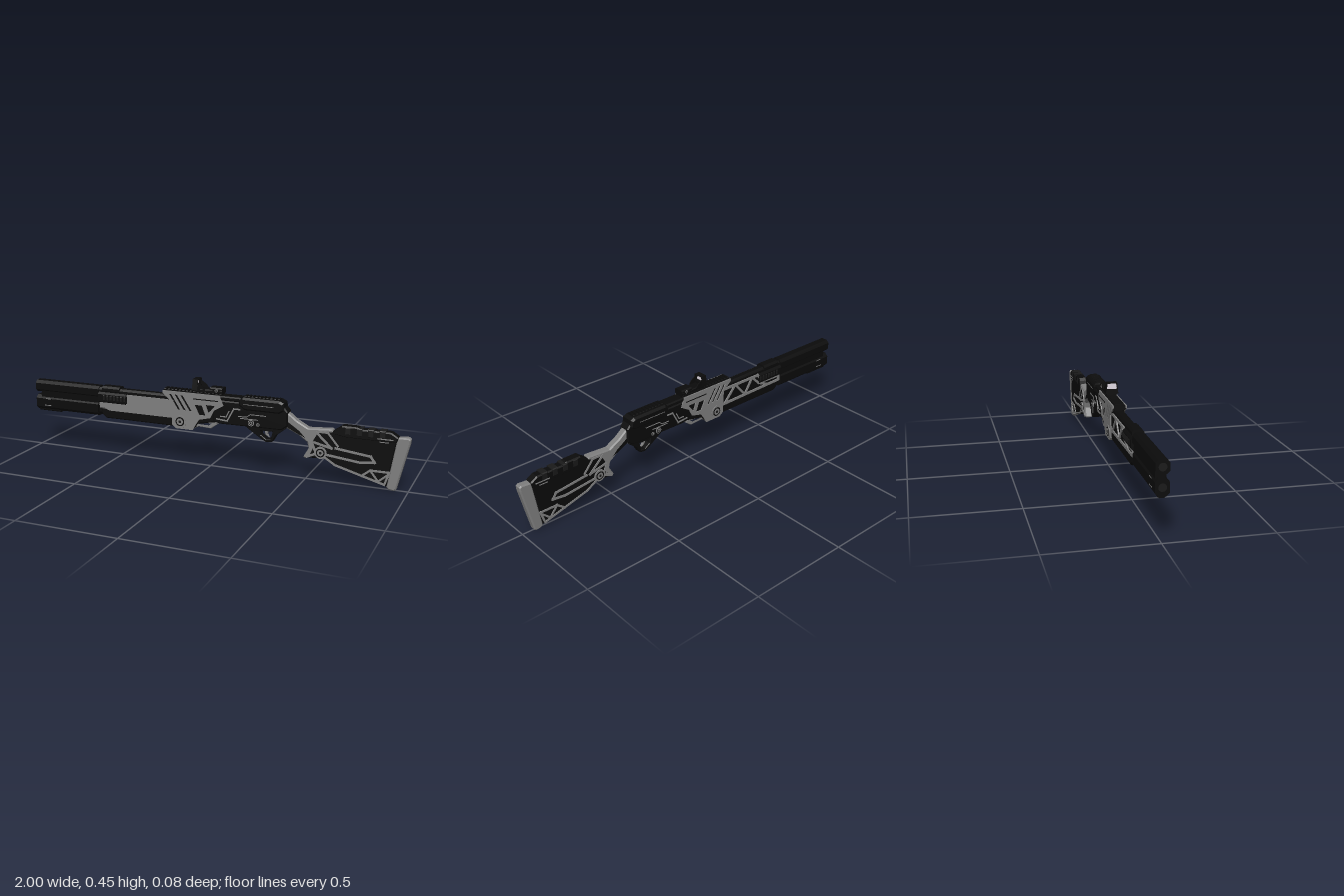
import * as THREE from 'three';

const mat = (name, color, extra = {}) => {
  const m = new THREE.MeshStandardMaterial({ color, ...extra });
  m.name = name;
  return m;
};

export function createModel() {
  const black = mat('black', 0x0b0b0b);
  const dark = mat('charcoal', 0x1a1a1a);
  const grey = mat('grey', 0x808080);
  const lens = mat('pale lens', 0xe4dde6, { side: THREE.DoubleSide });
  const root = new THREE.Group();

  const add = (name, geo, m) => {
    const mesh = new THREE.Mesh(geo, m);
    mesh.name = name;
    root.add(mesh);
    return mesh;
  };
  const outline = (pts, holes = []) => {
    const s = new THREE.Shape(pts.map(p => new THREE.Vector2(...p)));
    for (const h of holes) s.holes.push(new THREE.Path(h.map(p => new THREE.Vector2(...p))));
    return s;
  };
  // Side silhouette, extruded evenly about z = 0, with chamfered edges
  const body = (name, pts, hz, m, b = 0.006, holes = []) => {
    const g = new THREE.ExtrudeGeometry(outline(pts, holes), {
      depth: 2 * (hz - b), bevelThickness: b, bevelSize: b, bevelOffset: -b, bevelSegments: 1,
    });
    return add(name, g.translate(0, 0, -(hz - b)), m);
  };
  // Plate from z to z + t on the chosen sides
  const plate = (name, pts, z, t, m, holes = [], sides = [1, -1]) => {
    for (const s of sides) {
      const g = new THREE.ExtrudeGeometry(outline(pts, holes), { depth: t, bevelEnabled: false });
      add(name, g.translate(0, 0, s > 0 ? z : -z - t), m);
    }
  };
  // Flat strips along a polyline
  const strips = (name, pts, w, z, t, m, sides = [1, -1]) => {
    for (let i = 0; i + 1 < pts.length; i++) {
      const [a, b] = [pts[i], pts[i + 1]];
      const l = Math.hypot(b[0] - a[0], b[1] - a[1]);
      const ux = (b[0] - a[0]) / l * w / 2, uy = (b[1] - a[1]) / l * w / 2;
      plate(name, [[a[0] - ux - uy, a[1] - uy + ux], [a[0] - ux + uy, a[1] - uy - ux],
        [b[0] + ux + uy, b[1] + uy - ux], [b[0] + ux - uy, b[1] + uy + ux]], z, t, m, [], sides);
    }
  };
  const rect = (x0, x1, y0, y1) => [[x0, y0], [x1, y0], [x1, y1], [x0, y1]];
  // Bar along x with an eight-sided section
  const bar = (name, x0, x1, y0, y1, hz, c, m) => {
    const s = outline([[-hz, y0 + c], [-hz + c, y0], [hz - c, y0], [hz, y0 + c],
      [hz, y1 - c], [hz - c, y1], [-hz + c, y1], [-hz, y1 - c]]);
    const g = new THREE.ExtrudeGeometry(s, { depth: x1 - x0, bevelEnabled: false });
    return add(name, g.rotateY(Math.PI / 2).translate(x0, 0, 0), m);
  };
  // Round boss with a ring and cap on both sides
  const boss = (name, x, y, r, z) => {
    const disc = (n, rad, h, m) => add(n, new THREE.CylinderGeometry(rad, rad, 2 * h, 24)
      .rotateX(Math.PI / 2).translate(x, y, 0), m);
    disc(name, r, z, grey);
    disc(name + 'Groove', r * 0.72, z + 0.001, black);
    disc(name + 'Cap', r * 0.52, z + 0.002, grey);
    disc(name + 'Hole', r * 0.22, z + 0.003, dark);
  };

  // Barrels and muzzle sleeves
  bar('upperMuzzleSleeve', -1, -0.62, 0.298, 0.36, 0.031, 0.014, black);
  bar('lowerMuzzleSleeve', -1, -0.625, 0.203, 0.28, 0.031, 0.016, black);
  bar('muzzleFoot', -0.99, -0.86, 0.194, 0.22, 0.018, 0.006, black);
  bar('sleeveWeb', -0.97, -0.62, 0.27, 0.31, 0.024, 0.002, black);
  bar('barrel', -0.64, 0.1, 0.305, 0.355, 0.023, 0.01, black);
  bar('magazineTube', -0.64, -0.2, 0.215, 0.27, 0.018, 0.008, black);
  for (const y of [0.329, 0.242]) {
    add('bore', new THREE.CylinderGeometry(0.018, 0.018, 0.004, 20)
      .rotateZ(Math.PI / 2).translate(-0.999, y, 0), dark);
  }
  plate('sleeveMark', rect(-0.94, -0.91, 0.262, 0.266), 0.031, 0.001, grey);
  plate('sleeveMark', rect(-0.95, -0.91, 0.226, 0.23), 0.031, 0.001, grey);

  // Collar with top ribs
  bar('collar', -0.62, -0.46, 0.275, 0.333, 0.036, 0.01, black);
  bar('collarTop', -0.6, -0.5, 0.33, 0.364, 0.028, 0.01, black);
  for (let i = 0; i < 7; i++) bar('collarRib', -0.59 + i * 0.02, -0.58 + i * 0.02, 0.285, 0.326, 0.039, 0.01, dark);

  // Fore-end: solid panel on one side, open truss on the other
  body('foreEndCore', [[-0.61, 0.235], [-0.2, 0.235], [-0.2, 0.335], [-0.46, 0.335], [-0.47, 0.28], [-0.61, 0.28]], 0.024, black);
  body('foreEndBelly', [[-0.605, 0.215], [-0.58, 0.195], [-0.2, 0.195], [-0.2, 0.25], [-0.605, 0.25]], 0.028, black);
  plate('foreEndPanel', [[-0.615, 0.25], [-0.585, 0.25], [-0.56, 0.238], [-0.19, 0.238], [-0.19, 0.332],
    [-0.455, 0.332], [-0.455, 0.282], [-0.615, 0.282]], 0.024, 0.006, grey, [], [1]);
  strips('foreEndTruss', [[-0.61, 0.25], [-0.2, 0.244], [-0.2, 0.328], [-0.45, 0.328], [-0.49, 0.28], [-0.61, 0.275],
    [-0.61, 0.25]], 0.013, 0.024, 0.006, grey, [-1]);
  strips('foreEndTruss', [[-0.53, 0.25], [-0.46, 0.28], [-0.41, 0.328], [-0.36, 0.248], [-0.29, 0.328], [-0.22, 0.248]],
    0.012, 0.024, 0.006, grey, [-1]);

  // Shroud with slanted slots
  body('shroudCore', [[-0.235, 0.375], [-0.2, 0.21], [-0.17, 0.188], [-0.09, 0.188], [-0.06, 0.22], [0.04, 0.24], [0.06, 0.372]], 0.029, black);
  const slot = x => [[x, 0.362], [x + 0.014, 0.362], [x + 0.063, 0.285], [x + 0.049, 0.285]];
  plate('shroudPanel', [[-0.25, 0.378], [-0.25, 0.365], [-0.195, 0.32], [-0.2, 0.205], [-0.175, 0.187], [-0.085, 0.187],
    [-0.07, 0.215], [-0.05, 0.245], [0.01, 0.26], [0.03, 0.3], [0.08, 0.33], [0.06, 0.378]], 0.028, 0.006, grey,
  [slot(-0.215), slot(-0.184), slot(-0.153),
    [[-0.075, 0.32], [-0.035, 0.32], [-0.015, 0.27], [-0.05, 0.27]],
    [[-0.015, 0.325], [0.035, 0.325], [0.015, 0.3], [0.0, 0.285]]]);
  strips('shroudSeam', [[-0.08, 0.35], [0.05, 0.35]], 0.005, 0.034, 0.001, black);
  body('shroudFoot', [[-0.2, 0.215], [-0.175, 0.186], [-0.09, 0.186], [-0.07, 0.215]], 0.031, grey);
  body('shroudLoop', [[-0.08, 0.24], [0.04, 0.24], [0.04, 0.225], [0.01, 0.203], [-0.07, 0.207]], 0.024, grey, 0.003,
    [[[-0.06, 0.232], [0.02, 0.232], [0.0, 0.216], [-0.06, 0.217]]]);
  boss('shroudBoss', -0.153, 0.225, 0.033, 0.037);

  // Top rail
  bar('topRail', -0.25, 0.17, 0.355, 0.378, 0.031, 0.006, black);
  for (let i = 0; i < 16; i++) bar('railTooth', -0.245 + i * 0.02, -0.234 + i * 0.02, 0.376, 0.387, 0.024, 0.004, black);

  // Receiver
  body('receiver', [[0.02, 0.355], [0.02, 0.245], [0.06, 0.235], [0.38, 0.238], [0.41, 0.26], [0.41, 0.33], [0.39, 0.355]], 0.03, black);
  body('rearTopBlock', [[0.16, 0.37], [0.18, 0.382], [0.37, 0.382], [0.39, 0.372], [0.395, 0.335], [0.37, 0.318], [0.19, 0.318], [0.16, 0.34]],
    0.038, black, 0.01);
  for (let i = 0; i < 10; i++) bar('blockTooth', 0.185 + i * 0.019, 0.195 + i * 0.019, 0.38, 0.388, 0.02, 0.003, black);
  strips('receiverTrim', [[0.045, 0.26], [0.1, 0.255], [0.135, 0.32], [0.165, 0.32]], 0.007, 0.03, 0.003, grey);
  strips('receiverTrim', [[0.065, 0.275], [0.095, 0.275], [0.11, 0.305]], 0.005, 0.03, 0.003, grey);
  strips('receiverTrim', [[0.16, 0.285], [0.2, 0.285], [0.22, 0.3], [0.3, 0.3]], 0.004, 0.03, 0.002, grey);
  strips('receiverDash', [[0.17, 0.276], [0.26, 0.276]], 0.004, 0.03, 0.002, grey);
  strips('blockLine', [[0.19, 0.35], [0.34, 0.35]], 0.003, 0.038, 0.001, grey);
  boss('receiverPin', 0.225, 0.258, 0.016, 0.033);
  boss('receiverPin', 0.26, 0.252, 0.009, 0.032);

  // Trigger and guard
  body('triggerGuard', [[0.19, 0.245], [0.2, 0.228], [0.27, 0.182], [0.3, 0.166], [0.33, 0.17], [0.35, 0.205], [0.4, 0.245]], 0.02, black, 0.003,
    [[[0.268, 0.222], [0.272, 0.2], [0.3, 0.18], [0.323, 0.182], [0.333, 0.222]]]);
  body('trigger', [[0.285, 0.228], [0.31, 0.228], [0.303, 0.205], [0.312, 0.188], [0.292, 0.2]], 0.007, grey, 0.002);

  // Optic
  bar('opticBase', -0.08, 0.07, 0.384, 0.402, 0.025, 0.004, black);
  bar('opticRear', 0.005, 0.07, 0.395, 0.415, 0.026, 0.006, black);
  const trapezoid = (w, t, y0, y1) => [[-w, y0], [w, y0], [t, y1], [-t, y1]];
  const hood = new THREE.ExtrudeGeometry(outline(trapezoid(0.031, 0.025, 0.395, 0.449), [trapezoid(0.027, 0.022, 0.415, 0.445)]),
    { depth: 0.03, bevelEnabled: false });
  add('opticHood', hood.rotateY(Math.PI / 2).translate(-0.088, 0, 0), black);
  const glass = new THREE.ShapeGeometry(outline(trapezoid(0.028, 0.0225, 0.414, 0.446)));
  add('opticLens', glass.rotateY(Math.PI / 2).translate(-0.075, 0, 0), lens);
  plate('opticWing', [[-0.062, 0.4], [-0.02, 0.4], [-0.035, 0.418], [-0.062, 0.436]], 0.024, 0.004, black);
  boss('opticKnob', 0.04, 0.402, 0.008, 0.028);

  // Wrist and thumb hook
  body('wrist', [[0.39, 0.33], [0.41, 0.325], [0.455, 0.29], [0.51, 0.26], [0.63, 0.268], [0.64, 0.25], [0.55, 0.235], [0.54, 0.19],
    [0.545, 0.13], [0.5, 0.108], [0.49, 0.115], [0.515, 0.16], [0.508, 0.19], [0.465, 0.22], [0.4, 0.25]], 0.02, grey);
  body('wristCover', [[0.4, 0.29], [0.47, 0.245], [0.5, 0.21], [0.47, 0.222], [0.4, 0.255]], 0.021, black, 0.003);

  // Stock, cheek rest and butt pad
  body('stock', [[0.54, 0.245], [0.64, 0.262], [0.94, 0.262], [0.9, 0.018], [0.64, 0.088], [0.6, 0.12], [0.51, 0.112], [0.53, 0.16]], 0.02, black);
  body('cheekRest', [[0.62, 0.25], [0.66, 0.278], [0.675, 0.292], [0.75, 0.292], [0.765, 0.284], [0.91, 0.284], [0.945, 0.262], [0.935, 0.235],
    [0.7, 0.235]], 0.023, black);
  for (let i = 0; i < 4; i++) body('cheekRib', rect(0.69 + i * 0.055, 0.72 + i * 0.055, 0.25, 0.288), 0.025, dark, 0.004);
  body('buttPad', [[0.938, 0.262], [0.99, 0.266], [1, 0.258], [0.998, 0.235], [0.945, 0.008], [0.935, 0], [0.91, 0.004], [0.898, 0.015]], 0.019, grey);
  strips('stockTruss', [[0.51, 0.12], [0.555, 0.14], [0.53, 0.2], [0.555, 0.245], [0.63, 0.175], [0.545, 0.195]], 0.011, 0.019, 0.005, grey);
  strips('stockTruss', [[0.57, 0.25], [0.61, 0.25], [0.66, 0.19]], 0.009, 0.019, 0.005, grey);
  strips('stockTruss', [[0.61, 0.14], [0.77, 0.122], [0.84, 0.13], [0.82, 0.158], [0.65, 0.178]], 0.011, 0.019, 0.005, grey);
  strips('stockTruss', [[0.6, 0.125], [0.65, 0.094], [0.89, 0.028], [0.91, 0.09], [0.82, 0.09], [0.78, 0.058]], 0.01, 0.019, 0.005, grey);
  strips('stockTruss', [[0.82, 0.09], [0.86, 0.04], [0.905, 0.08]], 0.009, 0.019, 0.005, grey);
  strips('stockMark', [[0.85, 0.25], [0.92, 0.25]], 0.005, 0.023, 0.002, grey);
  strips('stockMark', [[0.86, 0.235], [0.9, 0.235]], 0.004, 0.023, 0.002, grey);
  boss('stockBoss', 0.577, 0.147, 0.03, 0.026);

  return root;
}
